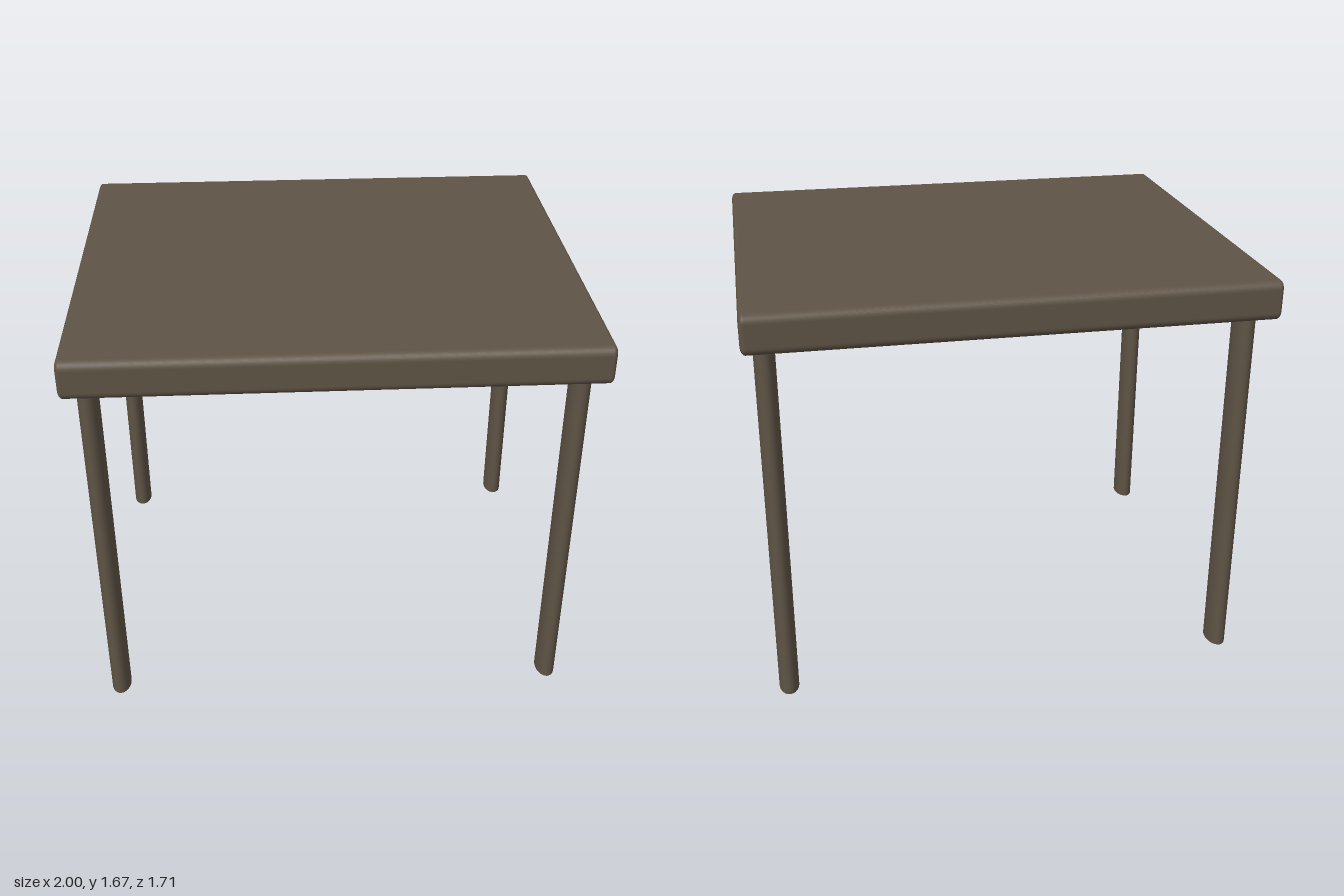
import * as THREE from 'three';
import { RoundedBoxGeometry } from 'three/addons/geometries/RoundedBoxGeometry.js';

export function createModel() {
  const group = new THREE.Group();
  group.name = 'table';
  const wood = new THREE.MeshStandardMaterial({ color: 0x5e5345 });

  // Thick slab; its edge rounding is tighter along x than along z
  const squash = 0.57;
  const slab = new RoundedBoxGeometry(2 / squash, 0.155, 1.71, 5, 0.033);
  slab.scale(squash, 1, 1);
  const top = new THREE.Mesh(slab, wood);
  top.name = 'tableTop';
  top.position.y = 1.5925;
  group.add(top);

  // Four straight legs with an oval section, sunk slightly into the slab
  const height = 1.53;
  const oval = new THREE.CylinderGeometry(1, 1, height, 32);
  oval.scale(0.04, 1, 0.068);
  for (const [xName, x] of [['Left', 0.917], ['Right', -0.917]]) {
    for (const [zName, z] of [['front', 0.685], ['back', -0.685]]) {
      const leg = new THREE.Mesh(oval, wood);
      leg.name = `${zName}${xName}Leg`;
      leg.position.set(x, height / 2, z);
      group.add(leg);
    }
  }
  return group;
}
